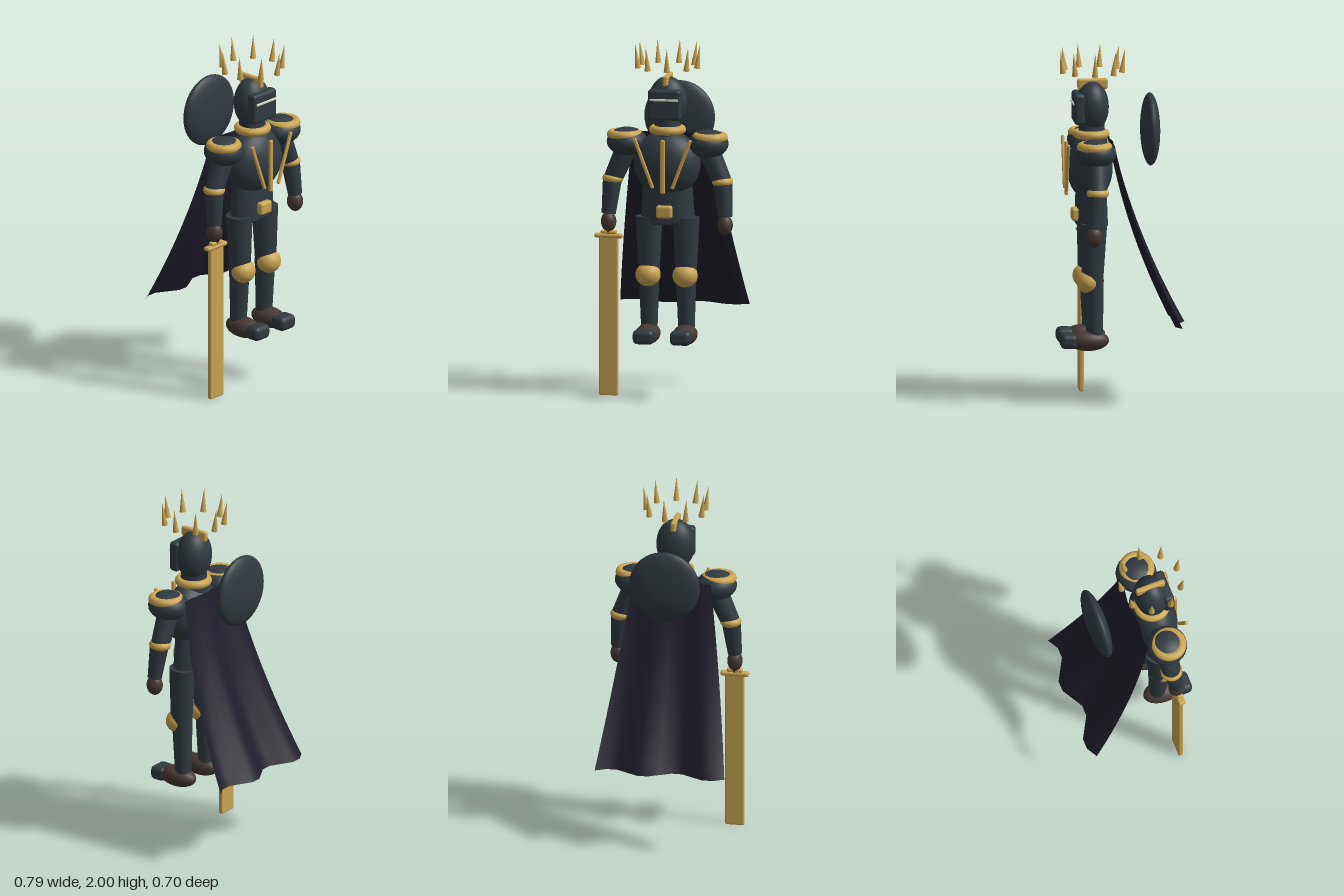
import * as THREE from 'three';
import { RoundedBoxGeometry } from 'three/addons/geometries/RoundedBoxGeometry.js';

const mat = (name, color, side = THREE.FrontSide) => {
  const m = new THREE.MeshStandardMaterial({ color, side });
  m.name = name;
  return m;
};

export function createModel() {
  const armour = mat('dark steel', 0x303a40);
  const gold = mat('gold', 0xcaa552);
  const leather = mat('brown leather', 0x463932);
  const cloth = mat('cape cloth', 0x201e2b, THREE.DoubleSide);
  const glow = mat('pale slit', 0xe4e2cc);

  const model = new THREE.Group();
  model.name = 'knight';
  const body = new THREE.Group(); // symmetric figure, set slightly off the origin
  body.name = 'body';
  body.position.x = 0.018;
  model.add(body);

  const add = (name, geo, m, pos, parent = body) => {
    const mesh = new THREE.Mesh(geo, m);
    mesh.name = name;
    mesh.position.set(...pos);
    parent.add(mesh);
    return mesh;
  };
  const ball = (name, m, pos, radii) =>
    add(name, new THREE.SphereGeometry(1, 32, 22).scale(...radii), m, pos);
  const block = (name, m, pos, size, r = 0.012) =>
    add(name, new RoundedBoxGeometry(...size, 3, r), m, pos);
  // tapered limb between two points
  const limb = (name, m, a, b, ra, rb) => {
    const A = new THREE.Vector3(...a), B = new THREE.Vector3(...b);
    const d = A.clone().sub(B);
    const mesh = add(name, new THREE.CylinderGeometry(ra, rb, d.length(), 24), m,
      A.clone().add(B).multiplyScalar(0.5).toArray());
    mesh.quaternion.setFromUnitVectors(new THREE.Vector3(0, 1, 0), d.normalize());
    return mesh;
  };

  // helmet
  ball('helmet', armour, [0, 1.67, 0.157], [0.11, 0.145, 0.094]);
  block('visor', armour, [0, 1.665, 0.235], [0.19, 0.175, 0.06], 0.02);
  block('visorSlit', glow, [0, 1.695, 0.267], [0.16, 0.013, 0.009], 0.003);
  block('helmetCrest', gold, [0, 1.798, 0.154], [0.03, 0.06, 0.172]);

  // floating crown of spikes leaning slightly outward
  for (let i = 0; i < 9; i++) {
    const a = (i / 9) * Math.PI * 2;
    const dir = new THREE.Vector3(Math.cos(a), 0, Math.sin(a));
    const spike = add('crownSpike', new THREE.ConeGeometry(0.018, 0.135, 12), gold,
      [dir.x * 0.176, 1.932, 0.157 + dir.z * 0.176]);
    spike.quaternion.setFromUnitVectors(new THREE.Vector3(0, 1, 0),
      dir.multiplyScalar(0.12).setY(1).normalize());
  }

  // torso
  limb('neck', armour, [0, 1.6, 0.16], [0, 1.45, 0.16], 0.07, 0.08);
  add('collar', new THREE.TorusGeometry(0.08, 0.024, 14, 40).rotateX(Math.PI / 2), gold, [0, 1.515, 0.163]);
  ball('breastplate', armour, [0, 1.325, 0.17], [0.19, 0.187, 0.128]);
  add('waist', new THREE.CylinderGeometry(0.14, 0.155, 0.21, 32).scale(1, 1, 0.57), armour, [0, 1.105, 0.157]);
  block('pelvis', armour, [0, 1.04, 0.157], [0.17, 0.12, 0.15]);
  block('beltBuckle', gold, [0, 1.06, 0.252], [0.092, 0.072, 0.045], 0.015);
  block('chestRib', gold, [0, 1.322, 0.302], [0.026, 0.305, 0.018], 0.007);

  for (const s of [1, -1]) {
    const rib = block('chestRib', gold, [s * 0.108, 1.34, 0.306], [0.02, 0.3, 0.018], 0.007);
    rib.rotation.z = -s * 0.36;

    // shoulder and arm
    ball('pauldron', armour, [s * 0.232, 1.44, 0.16], [0.114, 0.08, 0.115]);
    add('pauldronTrim', new THREE.TorusGeometry(0.074, 0.026, 14, 40).rotateX(Math.PI / 2), gold,
      [s * 0.244, 1.48, 0.168]);
    limb('upperArm', armour, [s * 0.232, 1.41, 0.157], [s * 0.315, 1.22, 0.157], 0.062, 0.053);
    ball('elbowGuard', gold, [s * 0.313, 1.228, 0.157], [0.06, 0.036, 0.063]);
    limb('forearm', armour, [s * 0.315, 1.23, 0.16], [s * 0.333, 1.03, 0.18], 0.054, 0.04);
    ball('glove', leather, [s * 0.333, 0.985, 0.18], [0.043, 0.058, 0.047]);

    // leg and boot
    const x = s * 0.106;
    limb('thigh', armour, [x, 1.02, 0.158], [x, 0.7, 0.165], 0.075, 0.06);
    ball('kneeGuard', gold, [x, 0.692, 0.19], [0.071, 0.067, 0.066]);
    limb('shin', armour, [x, 0.7, 0.16], [x, 0.38, 0.153], 0.058, 0.046);
    ball('boot', leather, [x, 0.357, 0.19], [0.068, 0.058, 0.118]);
    block('toeCap', armour, [x, 0.357, 0.3], [0.12, 0.082, 0.095], 0.028);
  }

  // round shield hanging behind the back
  ball('shield', armour, [0, 1.535, -0.17], [0.202, 0.205, 0.053]);

  // great sword held point down in the right hand
  const hx = -0.331;
  block('swordBlade', gold, [hx, 0.45, 0.186], [0.108, 0.9, 0.026], 0.008);
  block('swordGuard', gold, [hx, 0.905, 0.186], [0.162, 0.026, 0.042]);
  block('swordCollar', gold, [hx, 0.925, 0.186], [0.09, 0.024, 0.034], 0.01);
  limb('swordGrip', leather, [hx, 1.0, 0.183], [hx, 0.91, 0.186], 0.03, 0.015);

  // cape widening and rippling toward the hem
  const cape = new THREE.PlaneGeometry(1, 1, 12, 16);
  const p = cape.attributes.position;
  for (let i = 0; i < p.count; i++) {
    const u = p.getX(i) + 0.5, t = 0.5 - p.getY(i);
    const ripple = (0.006 + 0.034 * t) * Math.sin(u * Math.PI * 4);
    p.setXYZ(i, (u - 0.5) * (0.44 + 0.3 * t), 1.48 - 1.02 * t,
      0.052 - 0.2 * t - 0.167 * t * t - ripple);
  }
  cape.computeVertexNormals();
  add('cape', cape, cloth, [0, 0, 0]);

  return model;
}
